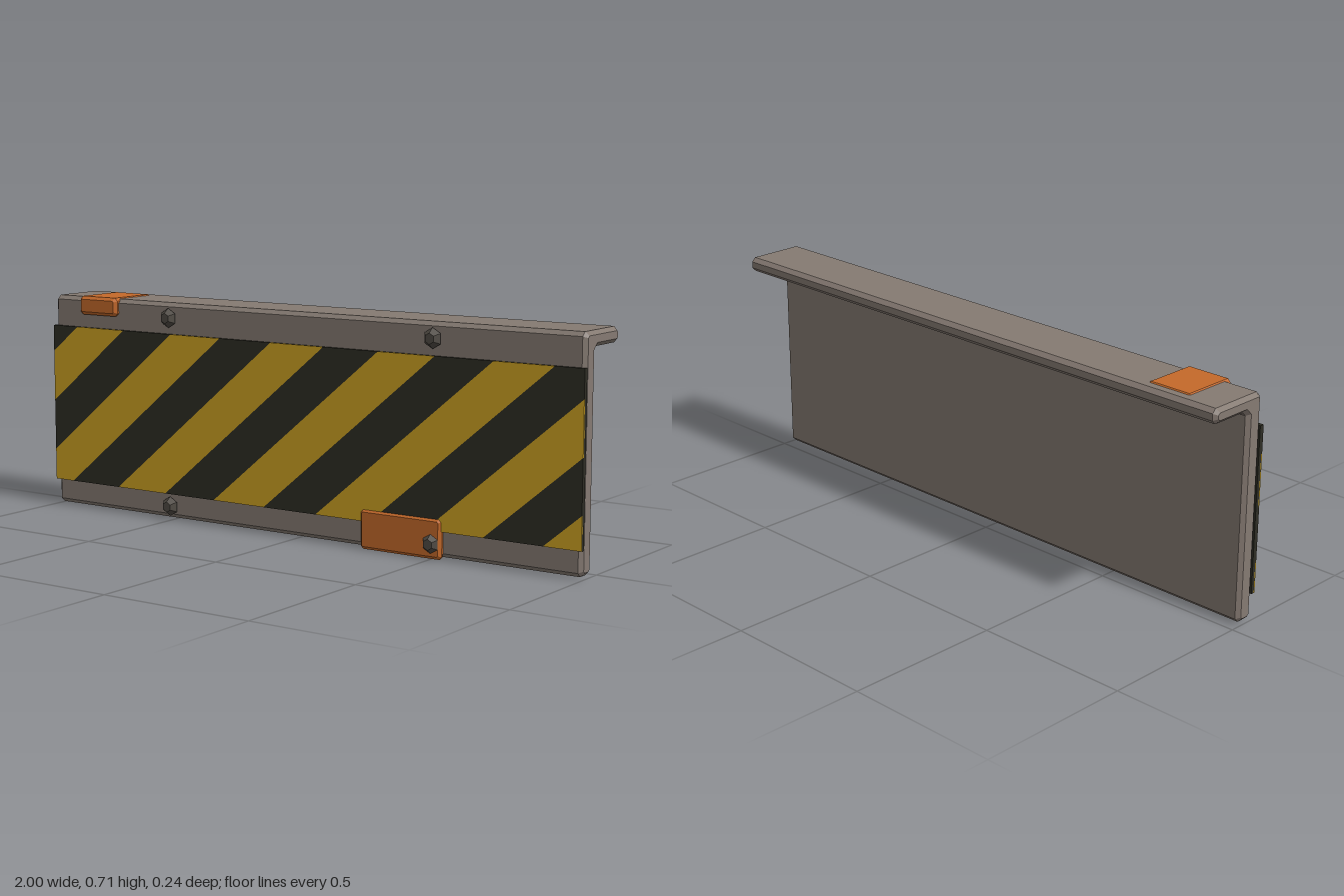
import * as THREE from 'three';

const material = (name, color) => {
  const m = new THREE.MeshStandardMaterial({ color });
  m.name = name;
  return m;
};

// Closed outline with every corner cut off by a chamfer of size c
function chamferedShape(corners, c) {
  const points = [];
  corners.forEach(([x, y], i) => {
    const p = new THREE.Vector2(x, y);
    for (const step of [-1, 1]) {
      const q = new THREE.Vector2(...corners[(i + step + corners.length) % corners.length]);
      points.push(p.clone().add(q.sub(p).setLength(c)));
    }
  });
  return new THREE.Shape(points);
}

// Extrusion centred on z = 0 whose end edges are chamfered inwards
function chamferedExtrude(shape, length, c) {
  const geometry = new THREE.ExtrudeGeometry(shape, {
    depth: length - 2 * c, bevelEnabled: true, bevelSegments: 1,
    bevelSize: c, bevelThickness: c, bevelOffset: -c,
  });
  return geometry.translate(0, 0, c - length / 2);
}

function chamferedBox(w, h, d, c) {
  const x = w / 2, y = h / 2;
  return chamferedExtrude(chamferedShape([[-x, -y], [x, -y], [x, y], [-x, y]], c), d, c);
}

// Keeps the part of a convex polygon on one side of x = limit
function clipX(points, limit, side) {
  const out = [];
  points.forEach((a, i) => {
    const b = points[(i + 1) % points.length];
    const da = (limit - a.x) * side, db = (limit - b.x) * side;
    if (da >= 0) out.push(a);
    if (da * db < 0) out.push(a.clone().lerp(b, da / (da - db)));
  });
  return out;
}

export function createModel() {
  const steel = material('steel', 0x857a72);
  const yellow = material('warning yellow', 0xcfa322);
  const black = material('warning black', 0x2e2d24);
  const orange = material('orange paint', 0xc4692a);
  const boltMetal = material('bolt metal', 0x504b44);

  const model = new THREE.Group();
  model.name = 'hazardBarrier';
  const add = (name, geometry, mat, x = 0, y = 0, z = 0, parent = model) => {
    const mesh = new THREE.Mesh(geometry, mat);
    mesh.name = name;
    mesh.position.set(x, y, z);
    parent.add(mesh);
    return mesh;
  };

  // Steel angle: upright plate with a flange to the rear (outline x is -z)
  const angle = chamferedShape([
    [-0.087, 0.006], [-0.028, 0.006], [-0.028, 0.664],
    [0.119, 0.664], [0.119, 0.711], [-0.087, 0.711],
  ], 0.013);
  add('steelAngle', chamferedExtrude(angle, 1.996, 0.012).rotateY(Math.PI / 2), steel);

  // Warning panel backing
  const bottom = 0.086, top = 0.61;
  add('panelBacking', new THREE.BoxGeometry(2, top - bottom, 0.011), black,
    0, (top + bottom) / 2, 0.087);

  // Diagonal stripes, clipped to the panel's ends
  const stripes = new THREE.Group();
  stripes.name = 'warningStripes';
  model.add(stripes);
  const width = 0.2, shift = (top - bottom) * 1.2;
  for (let i = 0; i < 14; i++) {
    const x = -1.095 + i * width;
    let points = [
      new THREE.Vector2(x - shift, bottom), new THREE.Vector2(x + width - shift, bottom),
      new THREE.Vector2(x + width, top), new THREE.Vector2(x, top),
    ];
    points = clipX(clipX(points, 1, 1), -1, -1);
    if (points.length < 3) continue;
    const slab = new THREE.ExtrudeGeometry(new THREE.Shape(points),
      { depth: 0.004, bevelEnabled: false });
    add(i % 2 ? 'yellowStripe' : 'blackStripe', slab, i % 2 ? yellow : black,
      0, 0, 0.0925, stripes);
  }

  // Orange clamp around the flange and repair plate at the lower edge
  add('flangeClamp', chamferedBox(0.16, 0.061, 0.19, 0.01), orange, -0.8, 0.684, 0.008);
  add('repairPlate', chamferedBox(0.29, 0.125, 0.024, 0.009), orange, 0.39, 0.0625, 0.091);

  // Tapered hexagonal bolts
  const head = new THREE.CylinderGeometry(0.017, 0.032, 0.019, 6).toNonIndexed();
  head.computeVertexNormals();
  head.rotateX(Math.PI / 2);
  const shank = new THREE.CylinderGeometry(0.012, 0.012, 0.02, 6).rotateX(Math.PI / 2);
  for (const x of [-0.5, 0.5]) {
    for (const y of [0.663, 0.047]) {
      const bolt = new THREE.Group();
      bolt.name = 'bolt';
      bolt.position.set(x, y, 0);
      model.add(bolt);
      add('boltHead', head, boltMetal, 0, 0, 0.1095, bolt);
      add('boltShank', shank, boltMetal, 0, 0, 0.092, bolt);
    }
  }

  return model;
}
